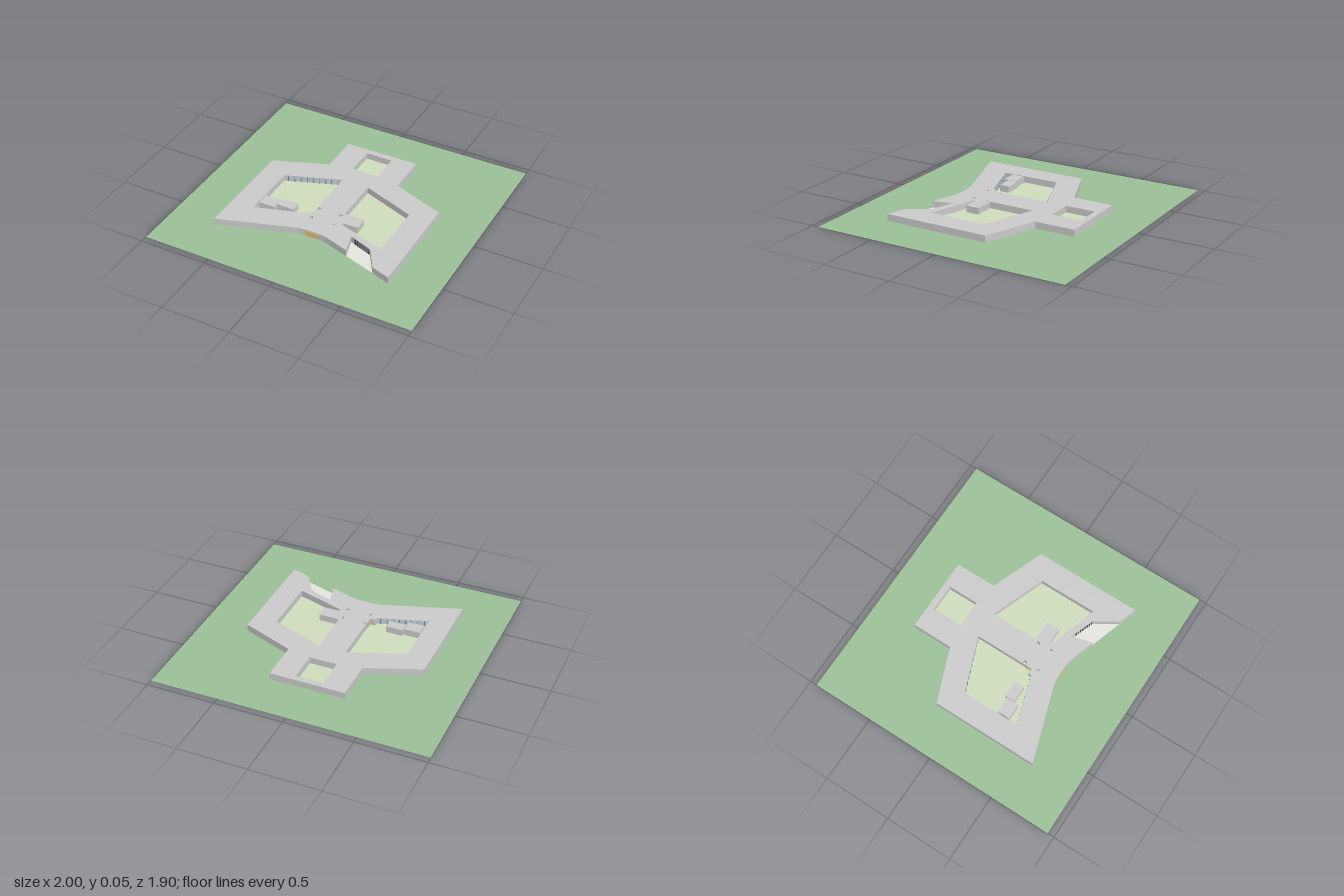
import * as THREE from 'three';

const mat = (color) => new THREE.MeshStandardMaterial({ color, side: THREE.DoubleSide });
const HEIGHT = 0.05;

// Plan points are [x, z]; extruding and tipping puts the plan on the ground.
const flip = ([x, z]) => new THREE.Vector2(x, -z);
const planShape = (points, holes = []) => {
  const shape = new THREE.Shape(points.map(flip));
  shape.holes = holes.map((h) => new THREE.Path(h.map(flip)));
  return shape;
};
const rect = (x0, z0, x1, z1) => [[x0, z0], [x1, z0], [x1, z1], [x0, z1]];

export function createModel() {
  const model = new THREE.Group();
  const grey = mat(0xcccccc);
  const lawn = mat(0x9bc098);
  const court = mat(0xcfddbc);
  const paving = mat(0xe6e6e0);
  const frame = mat(0x4a4a4a);
  const glass = mat(0xa9c4d4);
  const yellow = mat(0xe0c070);

  const add = (name, geometry, material) => {
    const mesh = new THREE.Mesh(geometry, material);
    mesh.name = name;
    model.add(mesh);
    return mesh;
  };
  const block = (name, points, holes = []) => {
    const g = new THREE.ExtrudeGeometry(planShape(points, holes), { depth: HEIGHT, bevelEnabled: false });
    return add(name, g.rotateX(-Math.PI / 2), grey);
  };
  const floor = (name, points, material) => {
    const g = new THREE.ShapeGeometry(planShape(points)).rotateX(-Math.PI / 2);
    add(name, g, material).position.y = 0.002;
  };
  // Upright strip of panels standing just off a wall that runs from a to b.
  const panels = (name, a, b, count, fill, y0, y1, material) => {
    const dx = b[0] - a[0], dz = b[1] - a[1], length = Math.hypot(dx, dz);
    for (let i = 0; i < count; i++) {
      const t = (i + 0.5) / count;
      const p = add(name, new THREE.BoxGeometry((length / count) * fill, y1 - y0, 0.004), material);
      p.position.set(a[0] + dx * t, (y0 + y1) / 2, a[1] + dz * t);
      p.rotation.y = -Math.atan2(dz, dx);
    }
  };

  // Site
  add('lawn', new THREE.PlaneGeometry(2, 1.9).rotateX(-Math.PI / 2), lawn);

  // Building outline and its openings
  const outline = [
    [-0.275, -0.62], [0.275, -0.62], [0.275, -0.32], [0.665, -0.17], [0.665, 0.615],
    [0.53, 0.57], [0.43, 0.41], [0.255, 0.345], [0.295, 0.495],
    [0.11, 0.435], [0.05, 0.427], [-0.05, 0.427], [-0.11, 0.435],
    [-0.665, 0.615], [-0.665, -0.17], [-0.275, -0.32],
  ];
  const northCourt = rect(-0.1, -0.575, 0.1, -0.35);
  const rightCourt = [
    [-0.1, -0.2], [-0.1, 0.24], [-0.14, 0.24], [-0.14, 0.265], [-0.495, 0.375], [-0.495, -0.052],
  ];
  const leftCourt = [
    [0.1, -0.2], [0.495, -0.052], [0.495, 0.375], [0.14, 0.262],
    [0.14, 0.245], [0.25, 0.245], [0.25, 0.145], [0.1, 0.145],
  ];
  const lightWells = [-1, 1].flatMap((s) => [
    [[s * 0.1, 0.165], [s * 0.07, 0.165], [s * 0.075, 0.185], [s * 0.085, 0.195]],
    [[s * 0.1, 0.295], [s * 0.07, 0.295], [s * 0.078, 0.278], [s * 0.095, 0.27]],
  ]);
  block('building', outline, [northCourt, rightCourt, leftCourt, ...lightWells]);

  // Floors of the courts, wells and entrance recess
  floor('rearCourtFloor', northCourt, court);
  floor('rightCourtFloor', rightCourt, court);
  floor('leftCourtFloor', leftCourt, court);
  lightWells.forEach((w) => floor('lightWellFloor', w, paving));
  floor('entrancePaving', [[0.255, 0.345], [0.43, 0.41], [0.53, 0.57], [0.295, 0.495]], paving);

  // Small pavilions in the right court
  block('pavilion', [[-0.49, 0.215], [-0.367, 0.215], [-0.367, 0.308], [-0.49, 0.308], [-0.483, 0.262]]);
  block('pavilion', rect(-0.363, 0.197, -0.24, 0.27));

  // Windows along the sloping walls of the right court
  panels('window', [-0.485, -0.054], [-0.11, -0.194], 9, 0.65, 0.018, 0.042, glass);
  panels('windowPost', [-0.485, -0.054], [-0.11, -0.194], 9, 0.08, 0.004, 0.046, frame);
  panels('window', [-0.485, 0.37], [-0.15, 0.266], 8, 0.65, 0.018, 0.042, glass);
  panels('windowPost', [-0.485, 0.37], [-0.15, 0.266], 8, 0.08, 0.004, 0.046, frame);

  // Front and court doors, and the slatted wall of the entrance recess
  panels('frontDoor', [-0.05, 0.428], [0.05, 0.428], 4, 0.92, 0.002, 0.042, yellow);
  panels('courtDoor', [-0.101, 0.195], [-0.101, 0.238], 2, 0.92, 0.002, 0.042, yellow);
  panels('entranceSlat', [0.285, 0.357], [0.43, 0.411], 8, 0.45, 0.002, 0.046, frame);

  return model;
}
